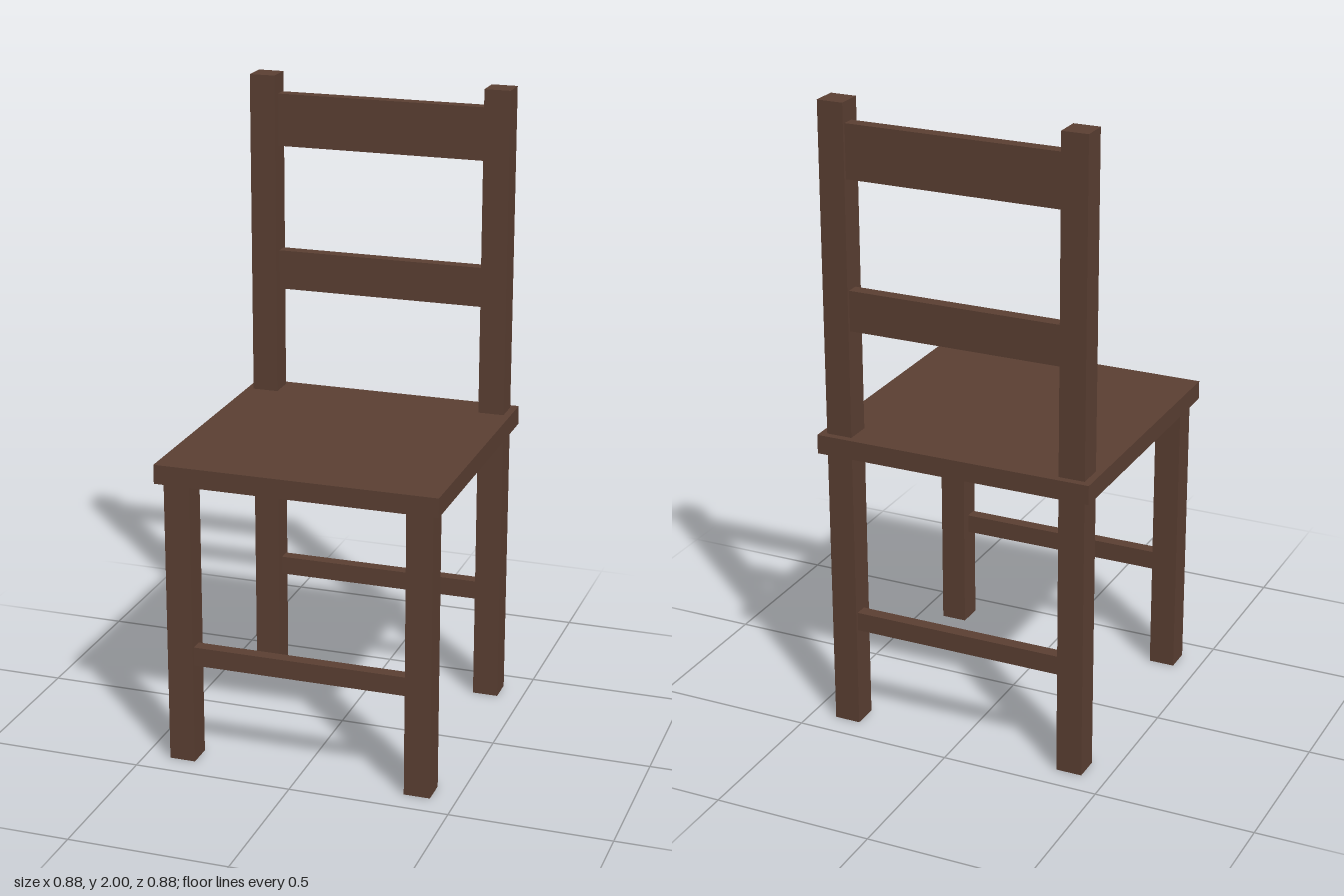
import * as THREE from 'three';

export function createModel() {
  const chair = new THREE.Group();
  chair.name = 'chair';

  const wood = new THREE.MeshStandardMaterial({ color: 0x5c4033 });
  wood.name = 'dark brown wood';

  // Box placed by its centre in x and z and its bottom and top in y
  const addBoard = (name, width, depth, bottom, top, x, z) => {
    const board = new THREE.Mesh(new THREE.BoxGeometry(width, top - bottom, depth), wood);
    board.name = name;
    board.position.set(x, (bottom + top) / 2, z);
    chair.add(board);
  };

  const seatBottom = 0.91, seatTop = 0.97;
  const post = 0.082, postOffset = 0.379;
  const railLength = 2 * postOffset - post, railDepth = 0.04, railZ = 0.39;

  addBoard('seat', 0.884, 0.884, seatBottom, seatTop, 0, 0);

  // Front legs, and back posts that rise through the seat
  for (const [side, s] of [['left', 1], ['right', -1]]) {
    addBoard(`${side}FrontLeg`, post, post, 0, seatBottom, s * postOffset, postOffset);
    addBoard(`${side}BackPost`, post, post, 0, 2, s * postOffset, -postOffset);
  }

  // Backrest slats
  addBoard('upperSlat', railLength, railDepth, 1.772, 1.938, 0, -railZ);
  addBoard('lowerSlat', railLength, railDepth, 1.307, 1.433, 0, -railZ);

  // Stretchers between the legs
  addBoard('frontStretcher', railLength, railDepth, 0.32, 0.38, 0, railZ);
  addBoard('backStretcher', railLength, railDepth, 0.32, 0.38, 0, -railZ);

  return chair;
}
